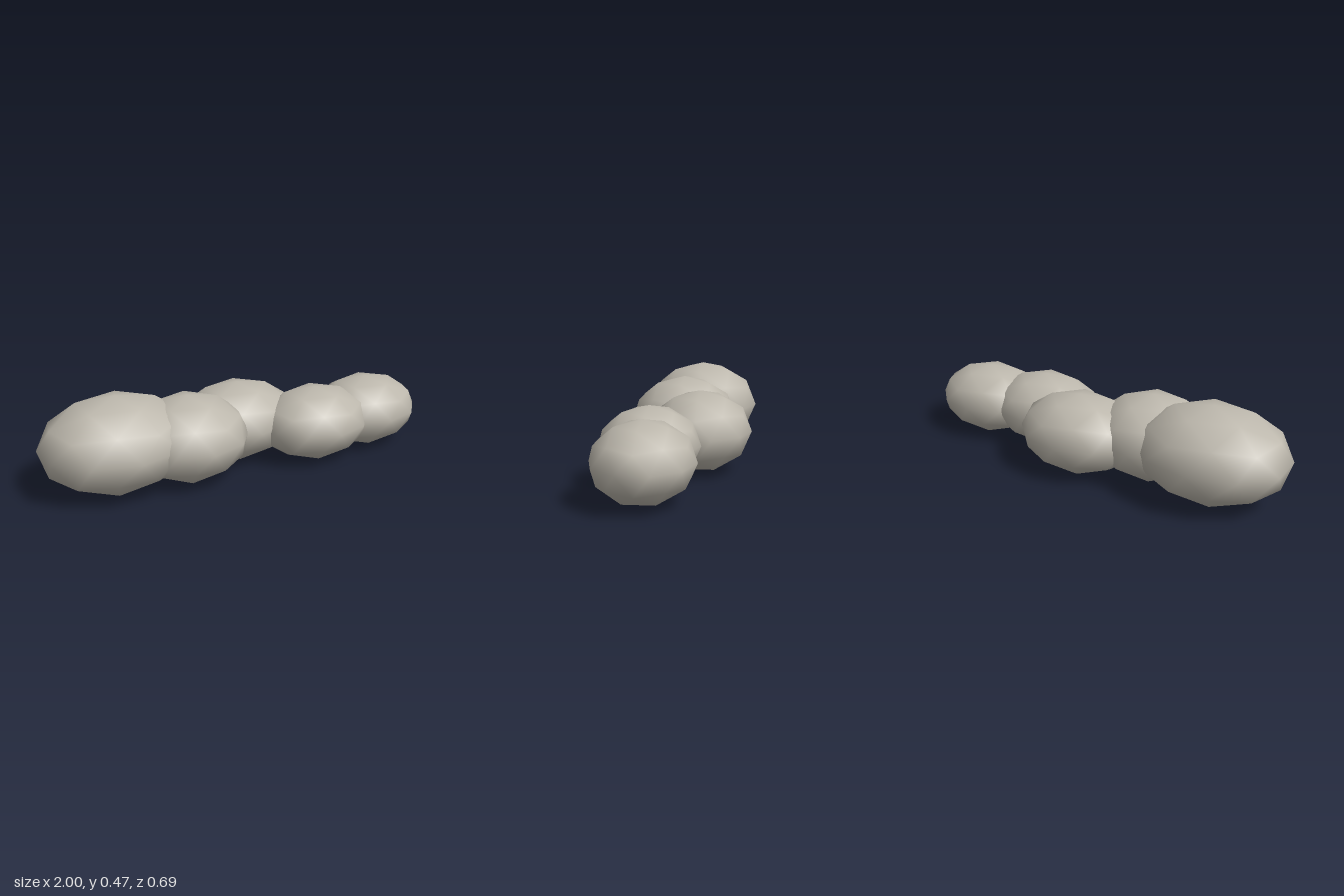
import * as THREE from 'three';

export function createModel() {
  const group = new THREE.Group();
  group.name = 'boulderRow';
  const stone = new THREE.MeshStandardMaterial({ color: 0xbdb8ad });
  stone.name = 'paleStone';

  // Smooth low-poly ball, turned so one corner points straight up
  const ball = new THREE.IcosahedronGeometry(1, 1);
  ball.rotateZ(-Math.atan(2 / (1 + Math.sqrt(5))));

  // Overlapping boulders resting on the ground: x, z, radii along x, y, z
  const boulders = [
    [-0.64, -0.044, 0.379, 0.233, 0.299],
    [-0.30, 0.022, 0.305, 0.213, 0.273],
    [0.04, -0.094, 0.320, 0.198, 0.253],
    [0.38, 0.108, 0.296, 0.185, 0.238],
    [0.72, 0.084, 0.294, 0.181, 0.232],
  ];
  boulders.forEach(([x, z, rx, ry, rz], i) => {
    const mesh = new THREE.Mesh(ball, stone);
    mesh.name = `boulder${i + 1}`;
    mesh.position.set(x, ry, z);
    mesh.scale.set(rx, ry, rz);
    group.add(mesh);
  });
  return group;
}
